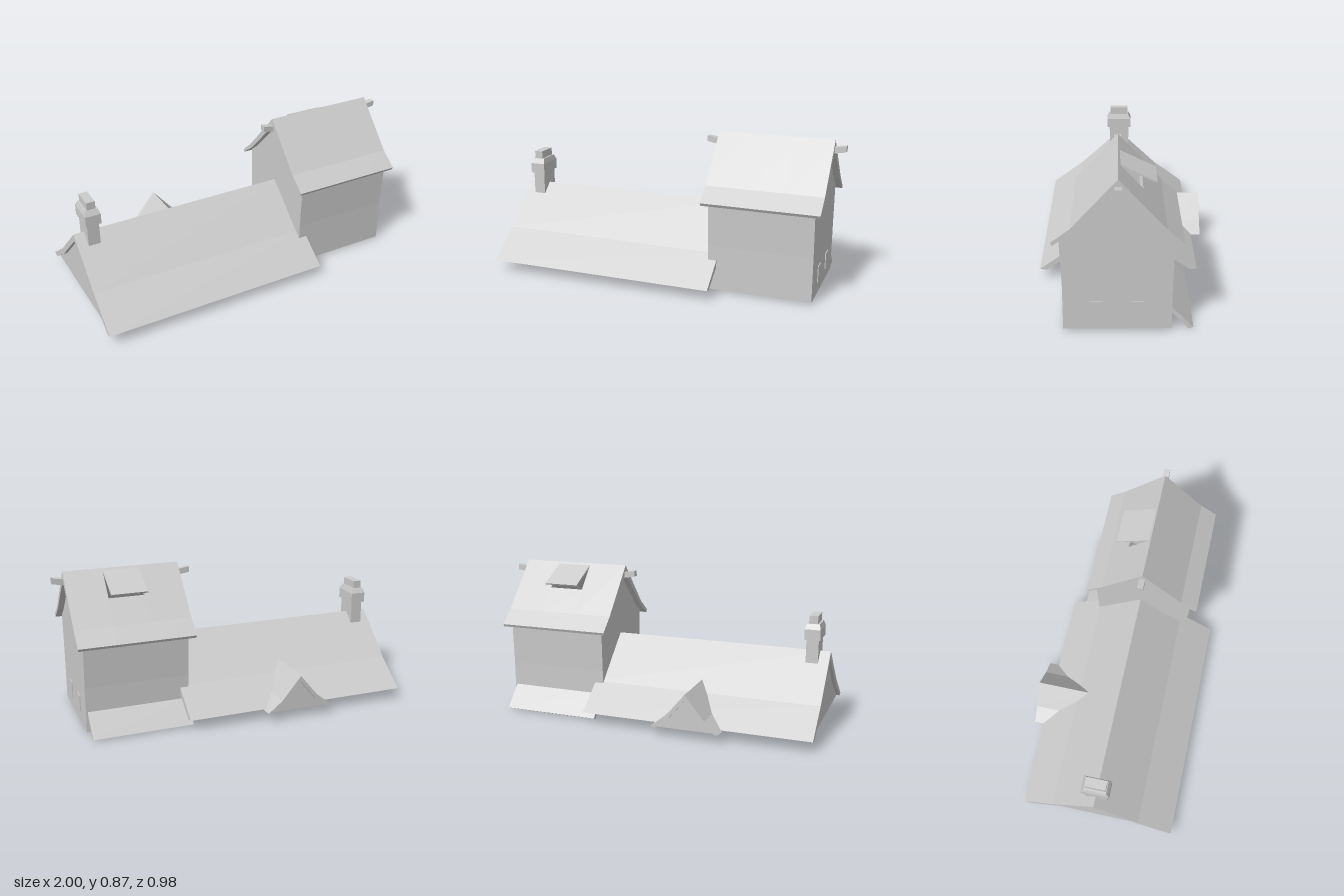
import * as THREE from 'three';

const material = new THREE.MeshStandardMaterial({ color: 0xcccccc, side: THREE.DoubleSide, flatShading: true });

function extrude(points, depth) {
  const shape = new THREE.Shape(points.map(([a, b]) => new THREE.Vector2(a, b)));
  return new THREE.ExtrudeGeometry(shape, { depth, bevelEnabled: false });
}

// Extrude a [z, y] cross-section along x from x0 to x1
function alongX(points, x0, x1) {
  return extrude(points, x1 - x0).rotateY(-Math.PI / 2).translate(x1, 0, 0);
}

export function createModel() {
  const model = new THREE.Group();
  const add = (name, geometry, parent = model) => {
    const mesh = new THREE.Mesh(geometry, material);
    mesh.name = name;
    parent.add(mesh);
    return mesh;
  };
  const group = (name) => {
    const g = new THREE.Group();
    g.name = name;
    model.add(g);
    return g;
  };
  const box = (name, size, pos, parent) =>
    add(name, new THREE.BoxGeometry(...size).translate(...pos), parent);

  // Long house: flared roof down to the ground, open below
  const house = group('longHouse');
  const roofInner = [[-0.39, 0.058], [-0.23, 0.17], [0.02, 0.405], [0.27, 0.18], [0.45, 0.058]];
  add('houseRoof', alongX([[0.485, 0.065], [0.28, 0.215], [0.02, 0.45], [-0.24, 0.205], [-0.43, 0.065],
    ...roofInner], -1, 0.35), house);
  add('houseGable', alongX(roofInner, -0.98, -0.97), house);

  // Dormer: its inner end is trimmed to the slope of the house roof
  const dormer = group('dormer');
  const dormerInner = [[-0.175, 0.055], [-0.105, 0.105], [0, 0.23], [0.105, 0.105], [0.175, 0.055]];
  const dormerRoof = extrude([[0.2, 0.06], [0.115, 0.126], [0, 0.265], [-0.115, 0.126], [-0.2, 0.06],
    ...dormerInner], 0.3).translate(-0.3, 0, -0.49);
  const pos = dormerRoof.attributes.position;
  for (let i = 0; i < pos.count; i++) {
    if (pos.getZ(i) < -0.3) continue;
    const y = pos.getY(i);
    pos.setZ(i, 0.01 + (y > 0.205 ? -0.24 + (y - 0.205) * 1.06 : -0.43 + (y - 0.065) * 1.36));
  }
  dormerRoof.computeVertexNormals();
  add('dormerRoof', dormerRoof, dormer);
  add('dormerGable', extrude(dormerInner, 0.01).translate(-0.3, 0, -0.47), dormer);

  // Chimney: stack, collar with tapered shoulder, flue
  const chimney = group('chimney');
  box('chimneyStack', [0.07, 0.17, 0.13], [-0.905, 0.45, 0.02], chimney);
  box('chimneyCollar', [0.09, 0.06, 0.16], [-0.905, 0.555, 0.02], chimney);
  const shoulder = new THREE.CylinderGeometry(Math.SQRT1_2 * 0.8, Math.SQRT1_2, 1, 4)
    .rotateY(Math.PI / 4).scale(0.09, 0.03, 0.16).translate(-0.905, 0.6, 0.02);
  add('chimneyShoulder', shoulder, chimney);
  box('chimneyFlue', [0.05, 0.05, 0.12], [-0.905, 0.635, 0.02], chimney);

  // Tower walls: slightly flared at the top, open below
  const tower = group('tower');
  const gable = [[0.32, 0.01], [0.32, 0.27], [0.33, 0.535], [0.26, 0.585], [0.03, 0.825],
    [-0.2, 0.585], [-0.26, 0.535], [-0.25, 0.27], [-0.25, 0.01]];
  add('gableWallLeft', alongX(gable, 0.89, 0.9), tower);
  add('gableWallRight', alongX(gable, 0.3, 0.31), tower);
  for (const [name, z, s] of [['frontWall', 0.32, 1], ['backWall', -0.25, -1]]) {
    const wall = [[0, 0.01], [0, 0.27], [0.01, 0.535], [0, 0.54], [-0.01, 0.27], [-0.01, 0.01]];
    add(name, alongX(wall.map(([d, y]) => [z + s * d, y]), 0.31, 0.89), tower);
  }
  for (const z of [0.145, -0.073]) box('windowShutter', [0.01, 0.096, 0.065], [0.9, 0.127, z], tower);

  // Tower roof, with an opening under the hatch on the back slope
  const roof = group('towerRoof');
  const front = [[0.26, 0.585], [0.36, 0.513], [0.37, 0.53], [0.27, 0.605], [0.03, 0.87]];
  const back = [[-0.215, 0.6], [-0.305, 0.52], [-0.298, 0.505], [-0.2, 0.58]];
  const whole = [...front, ...back, [0.03, 0.82]];
  add('roofRightPart', alongX(whole, 0.265, 0.5), roof);
  add('roofLeftPart', alongX(whole, 0.71, 0.935), roof);
  add('roofFrontMiddle', alongX([...front, [0.012, 0.85], [0.03, 0.82]], 0.5, 0.71), roof);
  add('roofBackMiddle', alongX([[-0.1, 0.727], ...back, [-0.085, 0.7]], 0.5, 0.71), roof);

  // Raised hatch and its prop
  add('hatch', alongX([[0.018, 0.858], [0.01, 0.846], [-0.168, 0.757], [-0.173, 0.765]], 0.5, 0.71), roof);
  add('hatchProp', alongX([[-0.09, 0.738], [-0.097, 0.73], [-0.138, 0.767], [-0.131, 0.775]], 0.525, 0.535), roof);

  // Ridge beam ends, tilted upwards
  for (const s of [1, -1]) {
    const end = [[0.27, 0.785], [0.4, 0.807], [0.4, 0.84], [0.27, 0.82]];
    add('ridgeBeamEnd', extrude(end.map(([x, y]) => [0.6 + s * x, y]), 0.036).translate(0, 0, 0.012), roof);
  }

  // Lean-to roof behind the tower
  add('leanToRoof', alongX([[-0.25, 0.13], [-0.365, 0.01], [-0.342, 0], [-0.25, 0.1]], 0.31, 0.89));

  return model;
}
